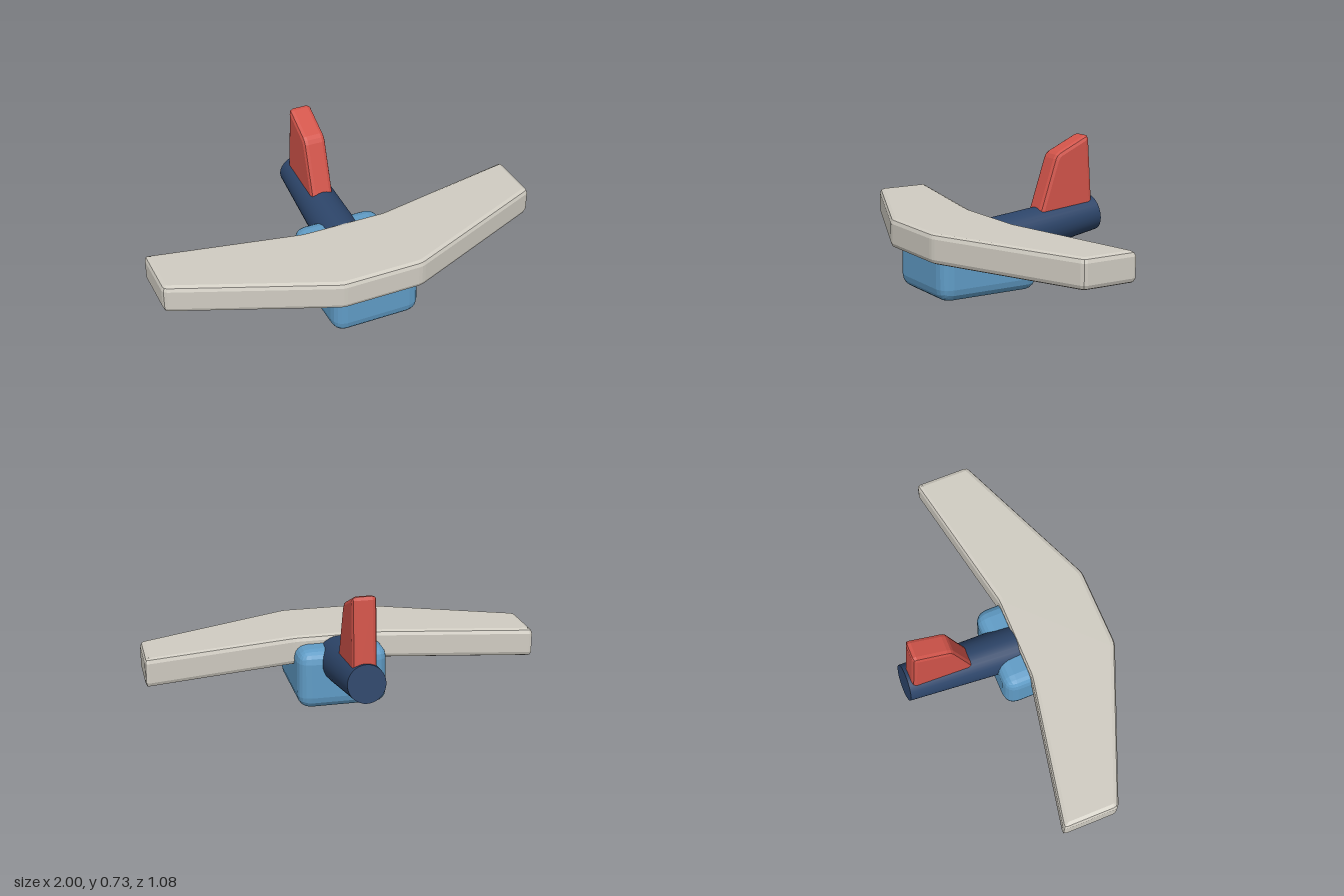
import * as THREE from 'three';
import { RoundedBoxGeometry } from 'three/addons/geometries/RoundedBoxGeometry.js';

const flat = (name, color) => {
  const m = new THREE.MeshStandardMaterial({ color, flatShading: true });
  m.name = name;
  return m;
};

// Polygon with slightly softened corners
function softShape(points, r) {
  const pts = points.map(([x, y]) => new THREE.Vector2(x, y));
  const shape = new THREE.Shape();
  pts.forEach((p, i) => {
    const prev = pts[(i + pts.length - 1) % pts.length];
    const next = pts[(i + 1) % pts.length];
    const a = p.clone().add(prev.clone().sub(p).setLength(r));
    const b = p.clone().add(next.clone().sub(p).setLength(r));
    if (i === 0) shape.moveTo(a.x, a.y);
    else shape.lineTo(a.x, a.y);
    shape.quadraticCurveTo(p.x, p.y, b.x, b.y);
  });
  shape.closePath();
  return shape;
}

// Bevelled slab centred on its thickness, outline kept at full size
function slab(points, thickness, bevel, corner) {
  const geo = new THREE.ExtrudeGeometry(softShape(points, corner), {
    depth: thickness - 2 * bevel,
    bevelThickness: bevel,
    bevelSize: bevel,
    bevelOffset: -bevel,
    bevelSegments: 2,
    curveSegments: 2,
  });
  geo.translate(0, 0, -(thickness - 2 * bevel) / 2);
  return geo;
}

export function createModel() {
  const model = new THREE.Group();
  const add = (name, geo, mat) => {
    const mesh = new THREE.Mesh(geo, mat);
    mesh.name = name;
    model.add(mesh);
    return mesh;
  };

  const cream = flat('cream', 0xd0ccc2);
  const blue = flat('sky blue', 0x609cc6);
  const red = flat('red', 0xd2544a);
  const navy = new THREE.MeshStandardMaterial({ color: 0x2c4468 });
  navy.name = 'navy';

  // Cabin under the wing
  add('cabin', new RoundedBoxGeometry(0.464, 0.31, 0.554, 2, 0.065), blue).position.set(0, 0.157, 0.215);

  // Swept wing, mirrored outline (shape y is -z)
  const half = [[0.21, -0.54], [1, -0.21], [1, 0.08], [0.22, -0.075]];
  const outline = [...half, ...half.map(([x, y]) => [-x, y]).reverse()];
  const wing = slab(outline, 0.15, 0.025, 0.02);
  wing.rotateX(-Math.PI / 2);
  add('wing', wing, cream).position.y = 0.279;

  // Tapered tail boom, rising toward the rear
  const start = new THREE.Vector3(0, 0.226, 0.08);
  const end = new THREE.Vector3(0, 0.313, -0.528);
  const axis = end.clone().sub(start);
  const boom = add('tailBoom', new THREE.CylinderGeometry(0.095, 0.117, axis.length(), 32), navy);
  boom.position.copy(start).lerp(end, 0.5);
  boom.quaternion.setFromUnitVectors(new THREE.Vector3(0, 1, 0), axis.normalize());

  // Upright fin sunk into the boom (shape x is -z)
  const fin = slab([[0.16, 0.3], [0.505, 0.3], [0.475, 0.737], [0.275, 0.645]], 0.12, 0.022, 0.025);
  fin.rotateY(Math.PI / 2);
  add('tailFin', fin, red);

  return model;
}
